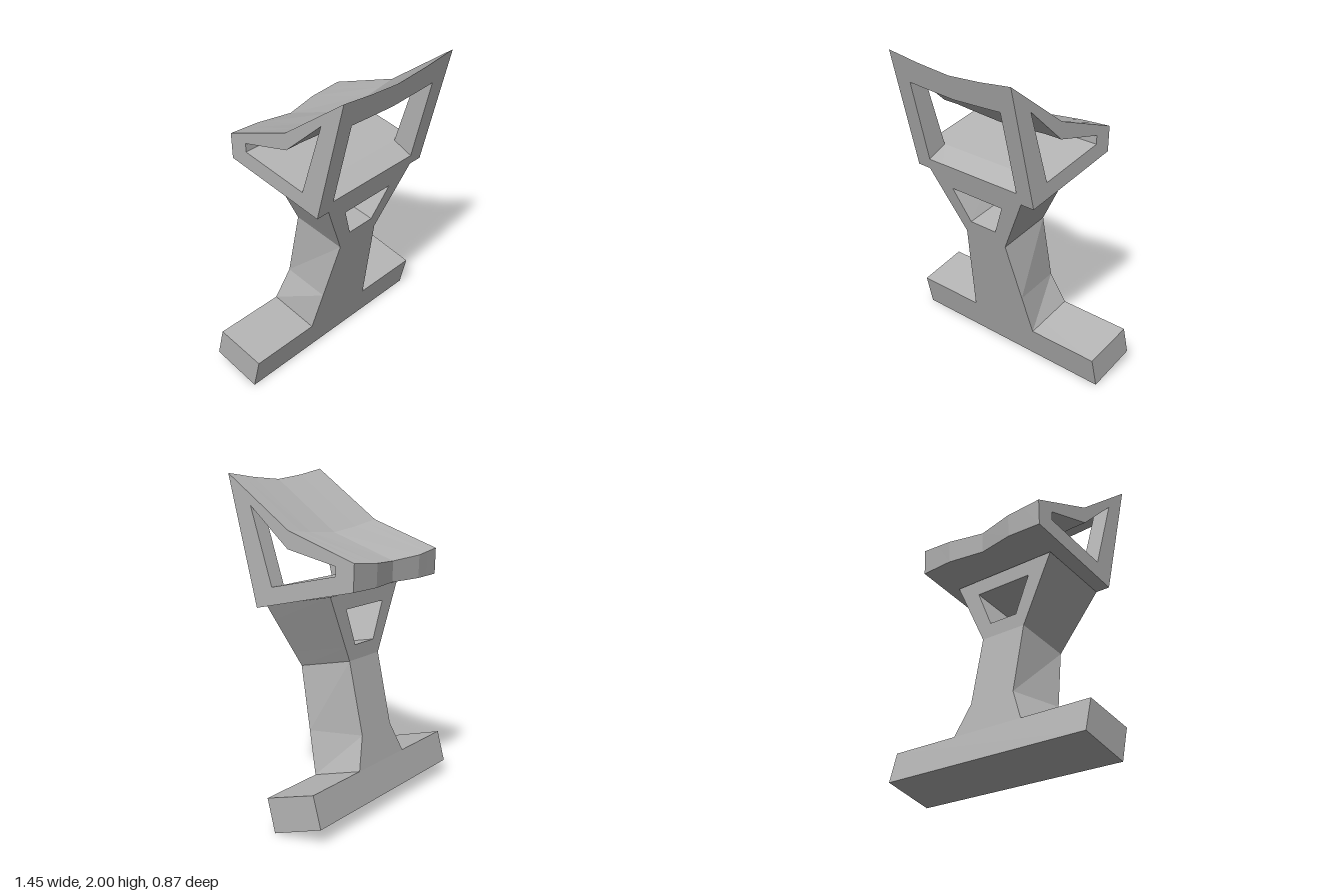
import * as THREE from 'three';

const grey = new THREE.MeshStandardMaterial({ color: 0xb4b4b4, flatShading: true });
grey.name = 'plain grey';

// Solid skinned over cross-section loops ordered along +x or +y; flat(p) projects a loop point to 2D.
function loft(name, sections, flat) {
  if (THREE.ShapeUtils.isClockWise(sections[0].map(flat))) sections = sections.map((s) => [...s].reverse());
  const pos = [];
  const tri = (a, b, c) => pos.push(...a, ...b, ...c);
  for (let s = 0; s < sections.length - 1; s++) {
    const lo = sections[s], hi = sections[s + 1];
    for (let i = 0; i < lo.length; i++) {
      const j = (i + 1) % lo.length;
      tri(lo[i], hi[i], lo[j]);
      tri(lo[j], hi[i], hi[j]);
    }
  }
  const first = sections[0], last = sections[sections.length - 1];
  for (const [a, b, c] of THREE.ShapeUtils.triangulateShape(first.map(flat), [])) tri(first[a], first[b], first[c]);
  for (const [a, b, c] of THREE.ShapeUtils.triangulateShape(last.map(flat), [])) tri(last[c], last[b], last[a]);
  const geo = new THREE.BufferGeometry();
  geo.setAttribute('position', new THREE.Float32BufferAttribute(pos, 3));
  geo.computeVertexNormals();
  const mesh = new THREE.Mesh(geo, grey);
  mesh.name = name;
  return mesh;
}

const sideways = (p) => new THREE.Vector2(p[2], p[1]);
const upward = (p) => new THREE.Vector2(p[0], p[2]);

// Leaning front plane and bent back plane of the stand
const frontZ = (y) => -0.07 + 0.252 * y;
const backZ = (y) => (y < 0.91 ? -0.335 + (y - 0.28) * 0.206 : -0.205 - (y - 0.91) * 0.012);

// Horizontal slice of the stand between x limits at the front and at the back
const slice = (fy, by, fx0, fx1, bx0, bx1) => [
  [fx0, fy, frontZ(fy)], [fx1, fy, frontZ(fy)], [bx1, by, backZ(by)], [bx0, by, backZ(by)],
];
const full = (fy, by, fx, bx) => slice(fy, by, -fx, fx, -bx, bx);

// C-shaped section of the head at a given x, sagging toward the middle
function headSection([x, sag, innerSag, back]) {
  const topY = 2 - 0.05 * sag, winY = 1.82 - 0.02 * innerSag;
  return [
    [topY, frontZ(topY)], [1.69 - 0.045 * sag, 0.01], [1.535 - 0.035 * sag, back],
    [1.375, back + 0.005], [1.23, 0.24], [1.3, frontZ(1.3)],
    [1.36, 0.13], [1.455, -0.31], [1.51 - 0.02 * innerSag, -0.31],
    [1.585 - 0.02 * innerSag, 0.015], [winY, 0.275], [winY, frontZ(winY)],
  ].map(([y, z]) => [x, y, z]);
}

export function createModel() {
  const model = new THREE.Group();
  model.name = 'stand';

  // Base bar
  const bar = [[0, -0.07], [0.2, -0.02], [0.28, -0.335], [0.09, -0.385]];
  model.add(loft('base', [-0.725, 0.725].map((x) => bar.map(([y, z]) => [x, y, z])), sideways));

  // Column, flared at the back of its foot
  model.add(loft('column', [
    full(0.2, 0.28, 0.25, 0.25), full(0.46, 0.47, 0.213, 0.16),
    full(0.84, 0.91, 0.16, 0.16), full(0.93, 1.0, 0.208, 0.206),
  ], upward));

  // Two arms around the opening, and the bridge above it
  for (const s of [1, -1]) {
    model.add(loft(s > 0 ? 'leftArm' : 'rightArm', [
      slice(0.93, 1.0, s * 0.1, s * 0.208, s * 0.1, s * 0.206),
      slice(1.14, 1.225, s * 0.2, s * 0.322, s * 0.2, s * 0.321),
    ], upward));
  }
  model.add(loft('bridge', [full(1.14, 1.225, 0.322, 0.321), full(1.23, 1.32, 0.37, 0.37)], upward));

  // Head with sagging top; columns are x, outer sag, inner sag, back edge z
  const half = [[0.465, 0, 0, -0.43], [0.35, 0.3, 0, -0.435], [0.24, 0.6, 0.35, -0.44]];
  const columns = [
    ...half.map(([x, ...r]) => [-x, ...r]), [0, 1, 1, -0.4], ...[...half].reverse(),
  ];
  model.add(loft('head', columns.map(headSection), sideways));

  // Front posts beside the window
  const post = [[1.3, frontZ(1.3)], [1.36, 0.13], [1.82, 0.275], [1.82, frontZ(1.82)]];
  for (const [name, ...xs] of [['leftPost', 0.35, 0.465], ['rightPost', -0.465, -0.35]]) {
    model.add(loft(name, xs.map((x) => post.map(([y, z]) => [x, y, z])), sideways));
  }
  return model;
}
